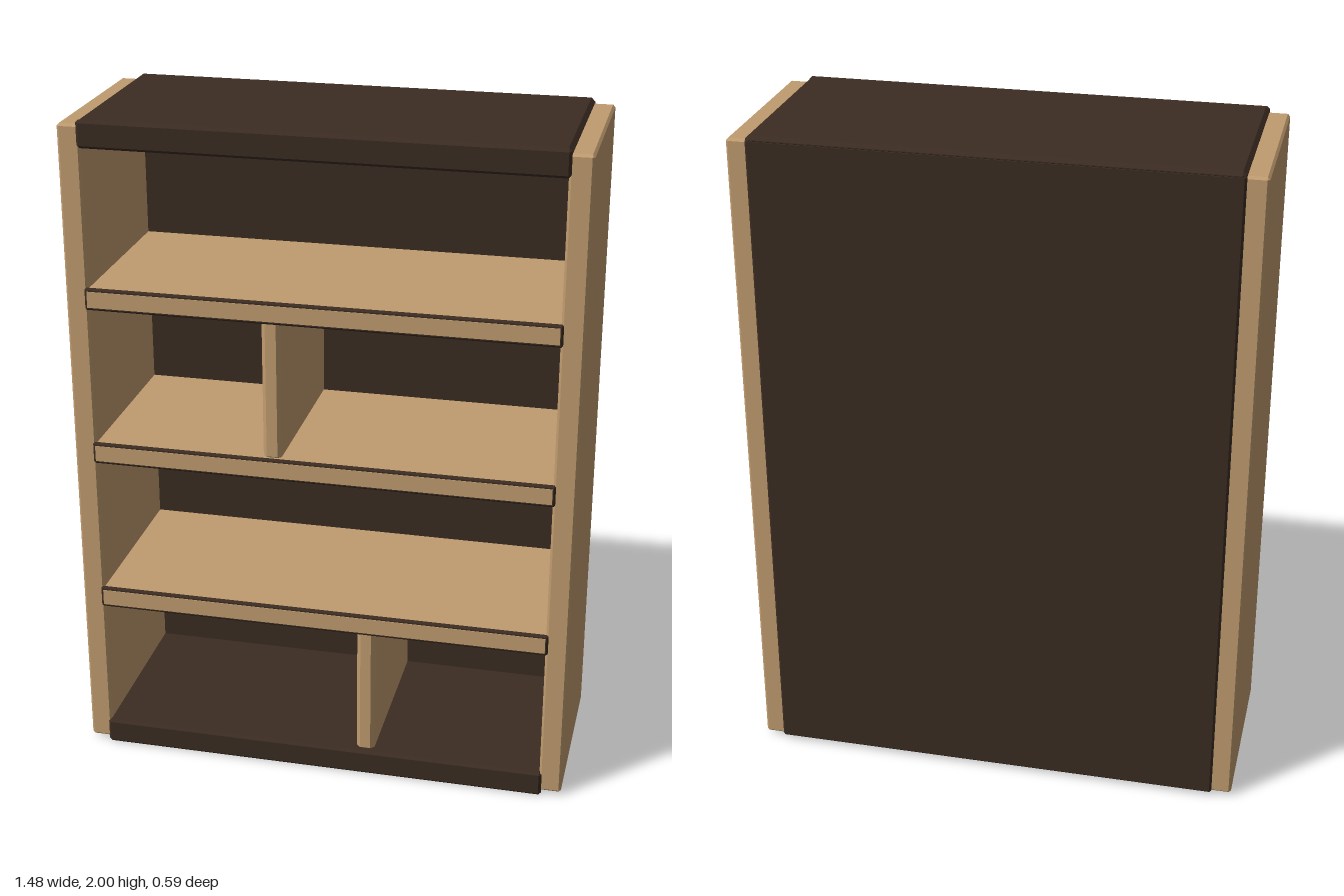
import * as THREE from 'three';
import { ConvexGeometry } from 'three/addons/geometries/ConvexGeometry.js';

// Box given by its limits, with every edge chamfered by c
function chamferBox([x0, x1], [y0, y1], [z0, z1], c) {
  const half = [(x1 - x0) / 2, (y1 - y0) / 2, (z1 - z0) / 2];
  const points = [];
  for (const sx of [-1, 1]) for (const sy of [-1, 1]) for (const sz of [-1, 1])
    for (let axis = 0; axis < 3; axis++) {
      const h = half.map((v, i) => (i === axis ? v : v - c));
      points.push(new THREE.Vector3(sx * h[0], sy * h[1], sz * h[2]));
    }
  return new ConvexGeometry(points).translate((x0 + x1) / 2, (y0 + y1) / 2, (z0 + z1) / 2);
}

export function createModel() {
  const group = new THREE.Group();
  const lightWood = new THREE.MeshStandardMaterial({ name: 'lightWood', color: 0xc19c70 });
  const darkWood = new THREE.MeshStandardMaterial({ name: 'darkWood', color: 0x3b2c22 });

  const add = (name, material, x, y, z, c = 0) => {
    const geometry = c > 0
      ? chamferBox(x, y, z, c)
      : new THREE.BoxGeometry(x[1] - x[0], y[1] - y[0], z[1] - z[0])
        .translate((x[0] + x[1]) / 2, (y[0] + y[1]) / 2, (z[0] + z[1]) / 2);
    const mesh = new THREE.Mesh(geometry, material);
    mesh.name = name;
    group.add(mesh);
  };

  const inner = [-0.676, 0.676], outer = [-0.683, 0.683];

  // Side panels
  add('leftSide', lightWood, [0.675, 0.742], [0.015, 1.985], [-0.28, 0.28], 0.007);
  add('rightSide', lightWood, [-0.742, -0.675], [0.015, 1.985], [-0.28, 0.28], 0.007);

  // Dark back, top cover and floor over light boards
  add('backPanel', darkWood, outer, [0.016, 1.99], [-0.293, -0.274], 0.006);
  add('topCover', darkWood, outer, [1.975, 2], [-0.293, 0.285], 0.011);
  add('topBoard', lightWood, inner, [1.925, 1.98], [-0.275, 0.28]);
  add('baseBoard', lightWood, inner, [0.017, 0.07], [-0.28, 0.28]);
  add('floor', darkWood, inner, [0.07, 0.08], [-0.275, 0.28]);

  // Front rails at top and bottom
  add('topRail', darkWood, outer, [1.92, 2], [0.275, 0.292], 0.008);
  add('bottomRail', darkWood, outer, [0.003, 0.082], [0.275, 0.292], 0.008);

  // Shelves, each with a dark edge strip and a light face
  for (const y of [0.52, 1, 1.48]) {
    add('shelf', lightWood, inner, [y - 0.028, y + 0.028], [-0.275, 0.278]);
    add('shelfEdge', darkWood, outer, [y - 0.033, y + 0.033], [0.277, 0.291], 0.005);
    add('shelfFace', lightWood, [-0.675, 0.675], [y - 0.024, y + 0.024], [0.288, 0.293]);
  }

  // Upright dividers
  add('upperDivider', lightWood, [-0.171, -0.115], [1.02, 1.46], [-0.28, 0.268], 0.012);
  add('lowerDivider', lightWood, [0.109, 0.165], [0.07, 0.5], [-0.28, 0.268], 0.012);

  return group;
}
